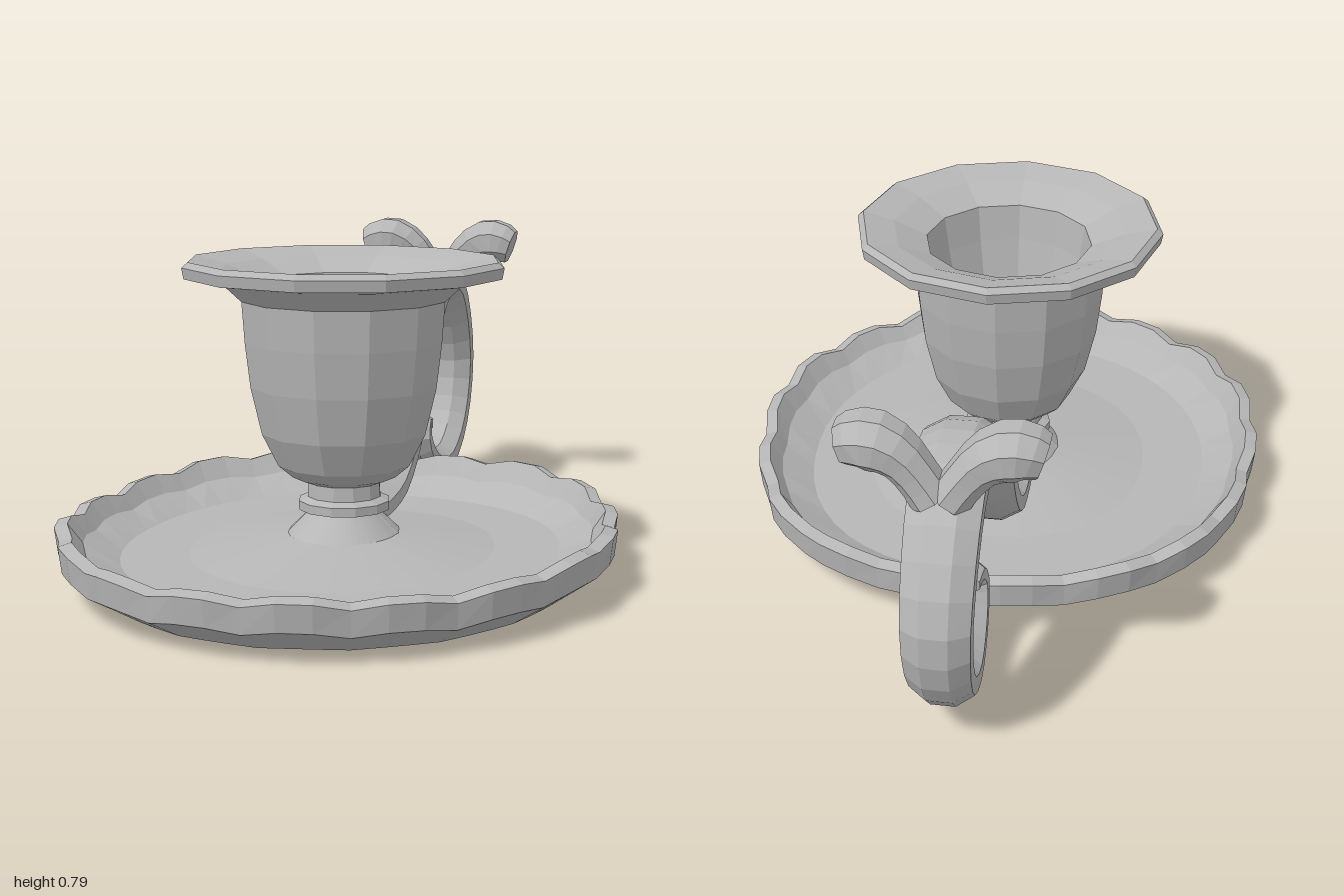
import * as THREE from 'three';

const metal = new THREE.MeshStandardMaterial({ color: 0xb6b6b6 });
metal.name = 'grey metal';

// Skin closed rings of points, close both ends, and facet the result.
function loft(name, rings) {
  const n = rings[0].length, pos = [], idx = [];
  rings.forEach(r => r.forEach(p => pos.push(p.x, p.y, p.z)));
  for (let i = 0; i < rings.length - 1; i++) {
    for (let j = 0; j < n; j++) {
      const k = (j + 1) % n, a = i * n, b = a + n;
      idx.push(a + j, a + k, b + k, a + j, b + k, b + j);
    }
  }
  [0, rings.length - 1].forEach((i, end) => {
    const c = new THREE.Vector3();
    rings[i].forEach(p => c.addScaledVector(p, 1 / n));
    const ci = pos.length / 3;
    pos.push(c.x, c.y, c.z);
    for (let j = 0; j < n; j++) {
      const a = i * n + j, b = i * n + (j + 1) % n;
      if (end) idx.push(ci, a, b); else idx.push(ci, b, a);
    }
  });
  const g = new THREE.BufferGeometry();
  g.setAttribute('position', new THREE.Float32BufferAttribute(pos, 3));
  g.setIndex(idx);
  const flat = g.toNonIndexed();
  flat.computeVertexNormals();
  const mesh = new THREE.Mesh(flat, metal);
  mesh.name = name;
  return mesh;
}

// Sweep an oval along a planar path; side is the plane's normal.
function sweep(name, path, side, sizes, steps, sides) {
  const curve = new THREE.CatmullRomCurve3(path);
  const rings = [];
  for (let i = 0; i <= steps; i++) {
    const t = i / steps, p = curve.getPoint(t);
    const v = curve.getTangent(t).cross(side).normalize();
    const f = t * (sizes.length - 1), s = Math.min(Math.floor(f), sizes.length - 2);
    const a = THREE.MathUtils.lerp(sizes[s][0], sizes[s + 1][0], f - s);
    const b = THREE.MathUtils.lerp(sizes[s][1], sizes[s + 1][1], f - s);
    rings.push(Array.from({ length: sides }, (_, j) => {
      const q = (j + 0.5) / sides * Math.PI * 2;
      return p.clone().addScaledVector(side, a * Math.cos(q)).addScaledVector(v, b * Math.sin(q));
    }));
  }
  return loft(name, rings);
}

// Oval dish: [radius scale, height, scallop strength], from under the centre round to the top.
function makeDish() {
  const N = 54, scallops = 18;
  const profile = [
    [0.1, 0.15, 0], [0.18, 0.07, 0], [0.5, 0.03, 0], [0.85, 0, 0.2],
    [0.99, 0.068, 0.8], [1, 0.132, 1], [0.955, 0.14, 1], [0.91, 0.095, 0.5],
    [0.79, 0.056, 0], [0.55, 0.056, 0], [0.2, 0.095, 0], [0.12, 0.15, 0],
  ];
  return loft('dish', profile.map(([s, y, w]) => Array.from({ length: N }, (_, j) => {
    const a = j / N * Math.PI * 2;
    const wave = -Math.cos(a * scallops);
    const drift = Math.sin(a * 5 + 1) * 0.006;
    // The back half is a little squarer than an ellipse.
    const square = Math.cos(a) < 0 ? 0.04 * Math.sin(2 * a) ** 2 : 0;
    const r = s * (1 + square + w * (wave * 0.012 + drift));
    const z0 = THREE.MathUtils.lerp(0.213, 0.25, s);
    return new THREE.Vector3(
      Math.sin(a) * r * 0.672,
      y + w * (wave * 0.01 + drift - 0.008 * Math.cos(a)),
      z0 + Math.cos(a) * r * 0.747);
  })));
}

// Twelve-sided candle cup with foot, collar, flared lip and hollow socket.
function makeCup() {
  const profile = [
    [0.05, 0.17], [0.138, 0.095], [0.085, 0.148], [0.114, 0.153], [0.114, 0.175], [0.092, 0.185],
    [0.09, 0.22], [0.13, 0.235], [0.165, 0.265], [0.205, 0.345], [0.232, 0.46], [0.245, 0.57],
    [0.252, 0.67], [0.3, 0.715], [0.39, 0.728], [0.395, 0.755], [0.38, 0.768], [0.3, 0.748],
    [0.214, 0.712], [0.2, 0.62], [0.175, 0.5],
  ];
  return loft('candleCup', profile.map(([r, y]) => Array.from({ length: 12 }, (_, j) => {
    const a = j / 12 * Math.PI * 2;
    return new THREE.Vector3(Math.sin(a) * r, y, 0.213 + Math.cos(a) * r);
  })));
}

export function createModel() {
  const group = new THREE.Group();
  group.name = 'chamberstick';
  group.add(makeDish(), makeCup());

  // Handle rises from the cup foot, loops over and ends in a small curl.
  const path = [
    [0.1, 0.115], [0, 0.117], [-0.12, 0.137], [-0.23, 0.205], [-0.32, 0.312], [-0.41, 0.452],
    [-0.5, 0.553], [-0.6, 0.608], [-0.7, 0.618], [-0.8, 0.588], [-0.895, 0.49], [-0.95, 0.36],
    [-0.93, 0.23], [-0.86, 0.135], [-0.75, 0.082], [-0.65, 0.088], [-0.57, 0.13],
    [-0.535, 0.185], [-0.56, 0.222], [-0.6, 0.215],
  ].map(([z, y]) => new THREE.Vector3(-0.008, y, z));
  const sizes = [[0.085, 0.045], [0.09, 0.05], [0.095, 0.054], [0.095, 0.053], [0.088, 0.054],
    [0.08, 0.054], [0.07, 0.052], [0.055, 0.039], [0.042, 0.031]];
  group.add(sweep('handle', path, new THREE.Vector3(1, 0, 0), sizes, 38, 8));

  // Pair of outward-curling thumb knobs on top of the handle.
  for (const s of [1, -1]) {
    const knob = [[0.02, 0.61], [0.05, 0.655], [0.085, 0.698], [0.13, 0.725], [0.175, 0.727], [0.215, 0.714]]
      .map(([x, y], i) => new THREE.Vector3(s * x, y, -0.824 + i * 0.005));
    group.add(sweep(s > 0 ? 'leftThumbKnob' : 'rightThumbKnob', knob, new THREE.Vector3(0, 0, 1),
      [[0.052, 0.05], [0.052, 0.048], [0.06, 0.054], [0.072, 0.066], [0.074, 0.066], [0.058, 0.05]], 8, 8));
  }
  return group;
}
